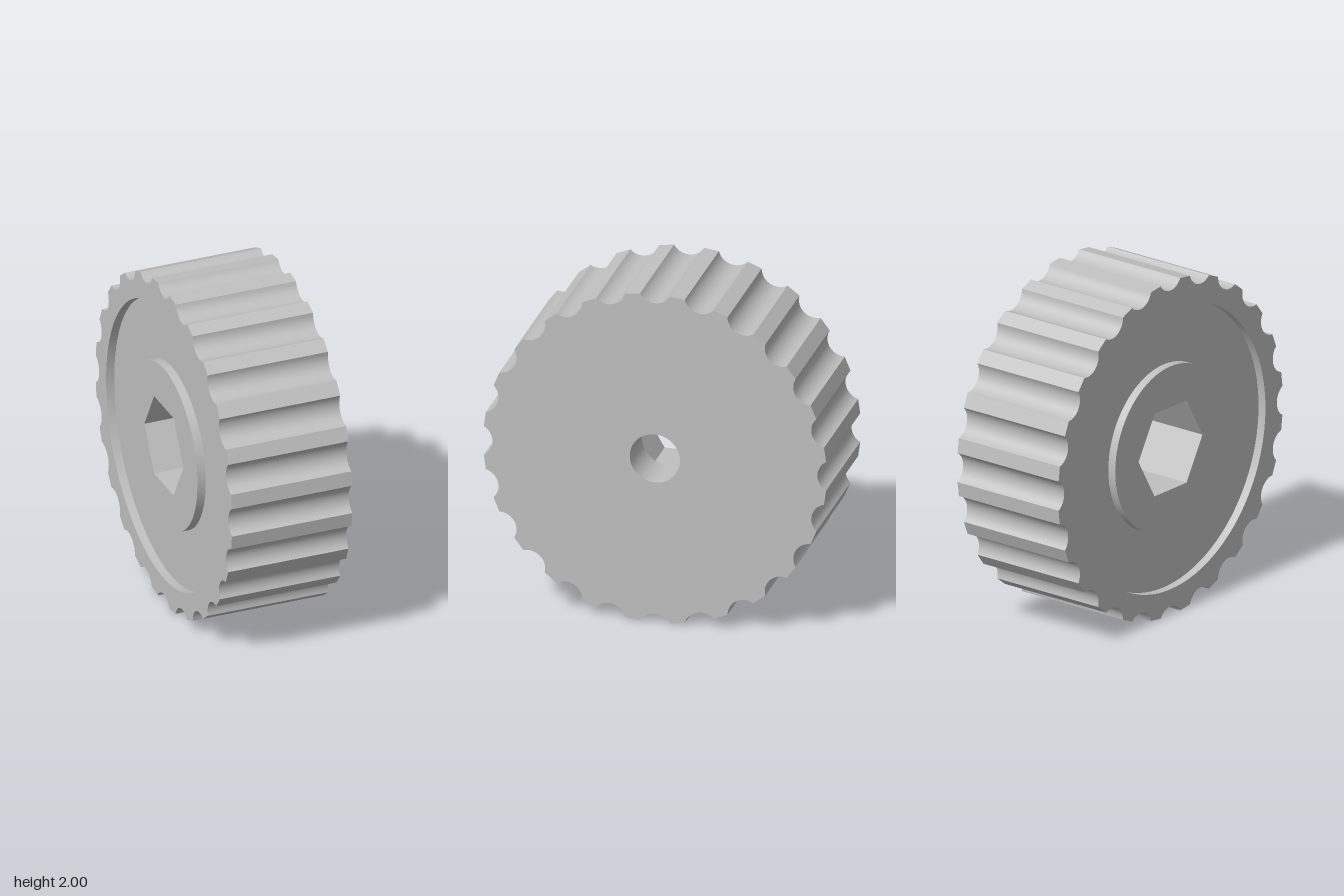
import * as THREE from 'three';
import { toCreasedNormals } from 'three/addons/utils/BufferGeometryUtils.js';

// Main dimensions, wheel axis along local z
const FRONT = 0.3675, BACK = -0.3675;
const RECESS = FRONT - 0.05, POCKET = FRONT - 0.47;
const TEETH = 24, RADIUS = 1.0038;

// Regular polygon or circle, counter-clockwise
function ring(radius, sides) {
  return Array.from({ length: sides }, (_, i) => {
    const a = (i / sides) * Math.PI * 2;
    return new THREE.Vector2(Math.cos(a) * radius, Math.sin(a) * radius);
  });
}

// Outer outline: round scallops with flat lands between them
function scallopedOutline() {
  const points = [], half = THREE.MathUtils.degToRad(5), steps = 12;
  const chord = RADIUS * Math.sin(half), base = RADIUS * Math.cos(half), r = 0.101;
  const centre = base + Math.sqrt(r * r - chord * chord);
  const sweep = Math.asin(chord / r);
  for (let i = 0; i < TEETH; i++) {
    for (let j = 0; j <= steps; j++) {
      const t = sweep * (2 * j / steps - 1);
      const p = new THREE.Vector2(centre - r * Math.cos(t), r * Math.sin(t));
      points.push(p.rotateAround(new THREE.Vector2(), (i / TEETH) * Math.PI * 2));
    }
  }
  return points;
}

// Straight wall along a closed loop; inward walls face the axis
function wall(loop, z0, z1, inward = false) {
  const pts = inward ? [...loop].reverse() : loop;
  const pos = [], n = pts.length;
  for (let i = 0; i < n; i++) {
    const a = pts[i], b = pts[(i + 1) % n];
    pos.push(a.x, a.y, z0, b.x, b.y, z0, b.x, b.y, z1);
    pos.push(a.x, a.y, z0, b.x, b.y, z1, a.x, a.y, z1);
  }
  const g = new THREE.BufferGeometry();
  g.setAttribute('position', new THREE.Float32BufferAttribute(pos, 3));
  return toCreasedNormals(g, 0.6);
}

// Flat face with one hole, looking forwards or backwards
function face(outer, hole, z, backwards = false) {
  const shape = new THREE.Shape(outer);
  shape.holes.push(new THREE.Path(hole));
  const g = new THREE.ShapeGeometry(shape);
  if (backwards) g.rotateX(Math.PI);
  return g.translate(0, 0, z);
}

export function createModel() {
  const grey = new THREE.MeshStandardMaterial({ color: 0xc0c0c0 });
  grey.name = 'plain grey';

  const wheel = new THREE.Group();
  wheel.name = 'scallopedWheel';
  const add = (name, geometry) => {
    const mesh = new THREE.Mesh(geometry, grey);
    mesh.name = name;
    wheel.add(mesh);
  };

  const outline = scallopedOutline();
  const recess = ring(0.848, 96), boss = ring(0.494, 72);
  const hex = ring(0.286, 6), bore = ring(0.147, 48);

  // Outer body
  add('scallopedRim', wall(outline, BACK, FRONT));
  add('backFace', face(outline, bore, BACK, true));
  add('frontRimFace', face(outline, recess, FRONT));

  // Shallow ring recess around the boss
  add('recessWall', wall(recess, RECESS, FRONT, true));
  add('recessFloor', face(recess, boss, RECESS));
  add('bossWall', wall(boss, RECESS, FRONT));
  add('bossFace', face(boss, hex, FRONT));

  // Hexagonal pocket and through bore
  add('hexPocketWall', wall(hex, POCKET, FRONT, true));
  add('hexPocketFloor', face(hex, bore, POCKET));
  add('boreWall', wall(bore, BACK, POCKET, true));

  // Stand the wheel up, turned about the vertical
  wheel.rotation.y = THREE.MathUtils.degToRad(-43);
  wheel.position.y = 1;
  const model = new THREE.Group();
  model.name = 'knobWheel';
  model.add(wheel);
  return model;
}
